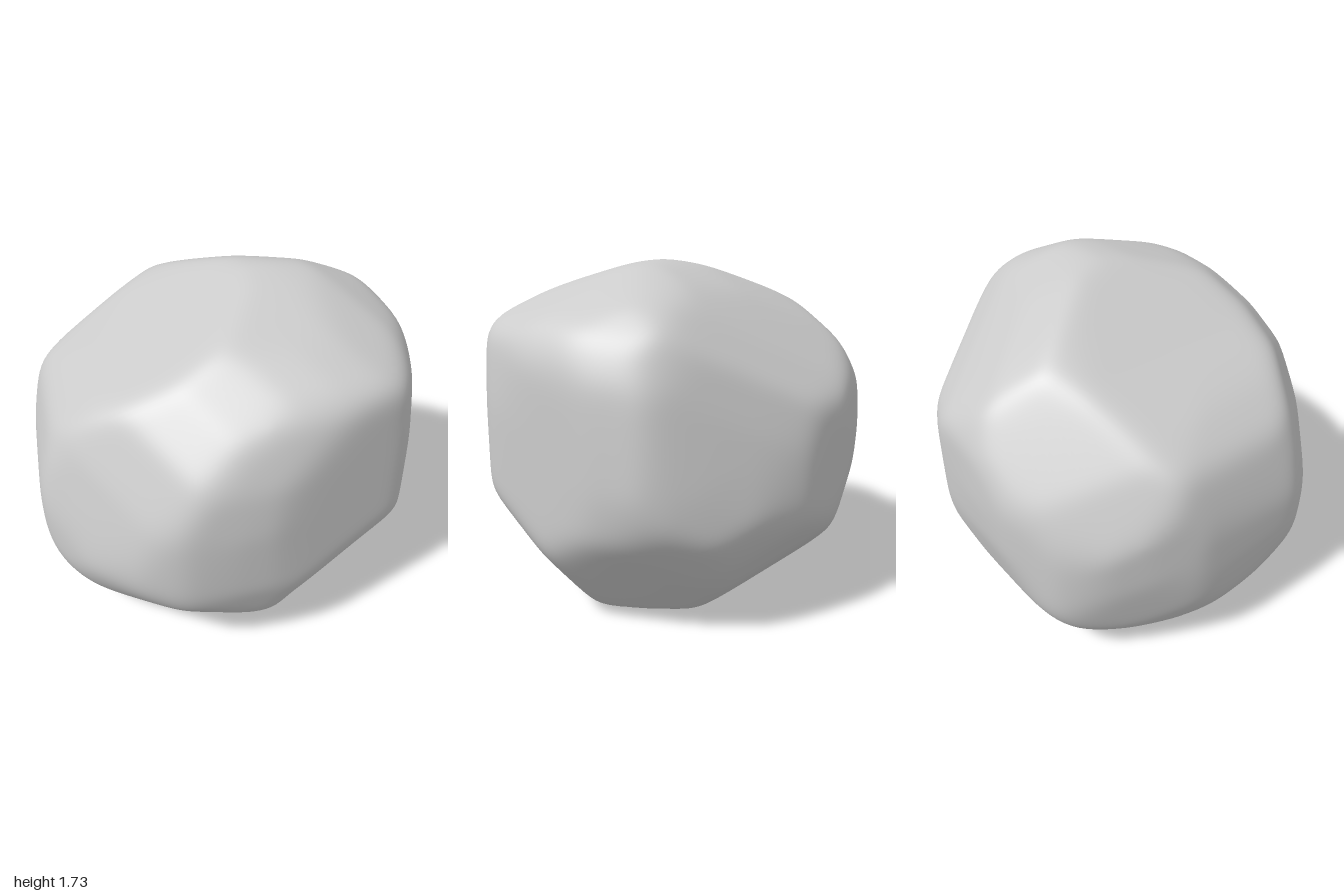
import * as THREE from 'three';
import { mergeVertices } from 'three/addons/utils/BufferGeometryUtils.js';

const HALF = 0.865; // half the height of the boulder
const SHARP = 60; // higher gives tighter edges where the cuts meet
const SWELL = 1.018; // makes up for the material lost in blending
const WEAR = 9; // passes that wear the edges round

// A cut: the boulder trimmed to a clockwise outline [u, v, ...] along one direction.
// Returns a gauge that is 1 on the trimmed surface.
function cut(azimuth, elevation, flat) {
  const a = THREE.MathUtils.degToRad(azimuth), e = THREE.MathUtils.degToRad(elevation);
  const right = new THREE.Vector3(Math.cos(a), 0, -Math.sin(a));
  const up = new THREE.Vector3(-Math.sin(e) * Math.sin(a), Math.cos(e), -Math.sin(e) * Math.cos(a));
  const n = flat.length;
  return (d) => {
    const u = d.dot(right), v = d.dot(up);
    for (let i = 0; i < n; i += 2) {
      const ax = flat[i], ay = flat[i + 1], bx = flat[(i + 2) % n], by = flat[(i + 3) % n];
      if (ax * v - ay * u <= 1e-9 && u * by - v * bx <= 1e-9) {
        return Math.max(0, (u * (by - ay) - v * (bx - ax)) / (ax * by - ay * bx));
      }
    }
    return 0;
  };
}

// Long slope to the right, undercut on the left
const frontCut = cut(0, 0, [
  0.23, 0.865, 0.44, 0.84, 0.78, 0.69, 0.87, 0.58, 0.95, 0.36, 1, -0.11, 0.95, -0.34,
  0.67, -0.76, 0.58, -0.865, -0.65, -0.865, -0.72, -0.83, -0.9, -0.66, -0.95, -0.53,
  -1, -0.26, -1, -0.08, -0.88, 0.33, -0.75, 0.43, -0.4, 0.59, 0, 0.8, 0.1, 0.85]);
// Low ridge with rounded shoulders
const sideCut = cut(90, 0, [
  0, 0.865, 0.2, 0.835, 0.45, 0.735, 0.7, 0.605, 0.84, 0.465, 0.93, 0.255, 0.95, 0,
  0.93, -0.2, 0.85, -0.5, 0.7, -0.71, 0.5, -0.835, 0.4, -0.865, -0.62, -0.865,
  -0.83, -0.65, -0.92, -0.36, -0.95, 0, -0.92, 0.24, -0.83, 0.52, -0.75, 0.62,
  -0.6, 0.7, -0.15, 0.835]);
// Plan, with a flat facet on the front left
const planCut = cut(0, 90, [
  -0.15, 0.95, 0.22, 0.91, 0.5, 0.78, 0.72, 0.59, 0.88, 0.38, 0.95, 0.26, 1, 0.12,
  0.97, -0.1, 0.75, -0.68, 0.7, -0.73, 0.3, -0.85, 0, -0.94, -0.15, -0.95, -0.4, -0.92,
  -0.6, -0.83, -0.82, -0.65, -1, -0.35, -0.97, 0.25, -0.88, 0.5, -0.8, 0.65,
  -0.6, 0.82, -0.35, 0.93]);
// Diagonal cuts that chip the corners
const cornerCuts = [
  cut(35, 25, [
    0.15, 0.84, 0.37, 0.75, 0.64, 0.55, 0.81, 0.38, 0.87, 0.16, 0.94, -0.23, 0.94, -0.36,
    0.77, -0.57, 0.4, -0.94, 0.33, -0.99, 0, -1.02, -0.26, -0.99, -0.53, -0.85,
    -0.83, -0.63, -0.96, -0.46, -1.05, -0.3, -1.04, -0.05, -0.98, 0.22, -0.88, 0.39,
    -0.53, 0.61, -0.08, 0.8]),
  cut(215, 25, [
    -0.02, 0.92, 0.17, 0.9, 0.36, 0.82, 0.6, 0.66, 0.78, 0.48, 0.92, 0.19, 1.05, -0.25,
    1.04, -0.42, 0.87, -0.69, 0.69, -0.87, 0.52, -0.96, 0.23, -1, 0.04, -1, -0.16, -0.95,
    -0.46, -0.79, -0.7, -0.61, -0.83, -0.45, -0.94, -0.25, -0.93, 0, -0.87, 0.46,
    -0.78, 0.67, -0.62, 0.8, -0.34, 0.89]),
  cut(145, -25, [
    -0.3, 0.87, 0.04, 0.84, 0.43, 0.77, 0.54, 0.72, 0.64, 0.59, 0.88, 0.27, 1.02, -0.02,
    0.99, -0.27, 0.9, -0.6, 0.77, -0.83, 0.43, -0.98, -0.39, -0.95, -0.51, -0.87,
    -0.6, -0.72, -0.81, -0.48, -1.01, -0.26, -1, 0.13, -0.95, 0.43, -0.81, 0.67, -0.61, 0.83]),
];
// Chamfer under the back left, and overall roundness
const chamferNormal = new THREE.Vector3(0.34, -0.8, -0.49);
const chamfer = (d) => Math.max(0, d.dot(chamferNormal)) / 1.01;
const roundness = (d) => d.length() / 1.14;

// Move every point halfway to the mean of its neighbours
function wearEdges(geometry) {
  const p = geometry.attributes.position.array, index = geometry.index.array;
  const sum = new Float32Array(p.length), count = new Uint16Array(p.length / 3);
  for (let i = 0; i < index.length; i++) {
    const from = index[i], to = index[i % 3 === 2 ? i - 2 : i + 1];
    for (let k = 0; k < 3; k++) sum[from * 3 + k] += p[to * 3 + k];
    count[from]++;
  }
  for (let i = 0; i < p.length; i++) p[i] = (p[i] + sum[i] / count[Math.floor(i / 3)]) / 2;
}

function boulderGeometry() {
  const cuts = [frontCut, sideCut, planCut, ...cornerCuts, chamfer, roundness];
  const ball = new THREE.IcosahedronGeometry(1, 40);
  ball.deleteAttribute('normal');
  ball.deleteAttribute('uv');
  const geometry = mergeVertices(ball, 1e-5);
  const pos = geometry.attributes.position;
  const d = new THREE.Vector3();

  // Push every point out to the smoothly blended cuts
  for (let i = 0; i < pos.count; i++) {
    d.fromBufferAttribute(pos, i).normalize();
    const sum = cuts.reduce((s, gauge) => s + gauge(d) ** SHARP, 0);
    d.multiplyScalar(SWELL * sum ** (-1 / SHARP));
    pos.setXYZ(i, d.x, d.y + HALF, d.z);
  }
  for (let i = 0; i < WEAR; i++) wearEdges(geometry);

  // Flatten the underside on the ground
  for (let i = 0; i < pos.count; i++) pos.setY(i, Math.max(0, pos.getY(i)));
  geometry.computeVertexNormals();
  return geometry;
}

export function createModel() {
  const group = new THREE.Group();
  group.name = 'rock';
  const boulder = new THREE.Mesh(boulderGeometry(), new THREE.MeshStandardMaterial({ color: 0xcccccc }));
  boulder.name = 'boulder';
  group.add(boulder);
  return group;
}
